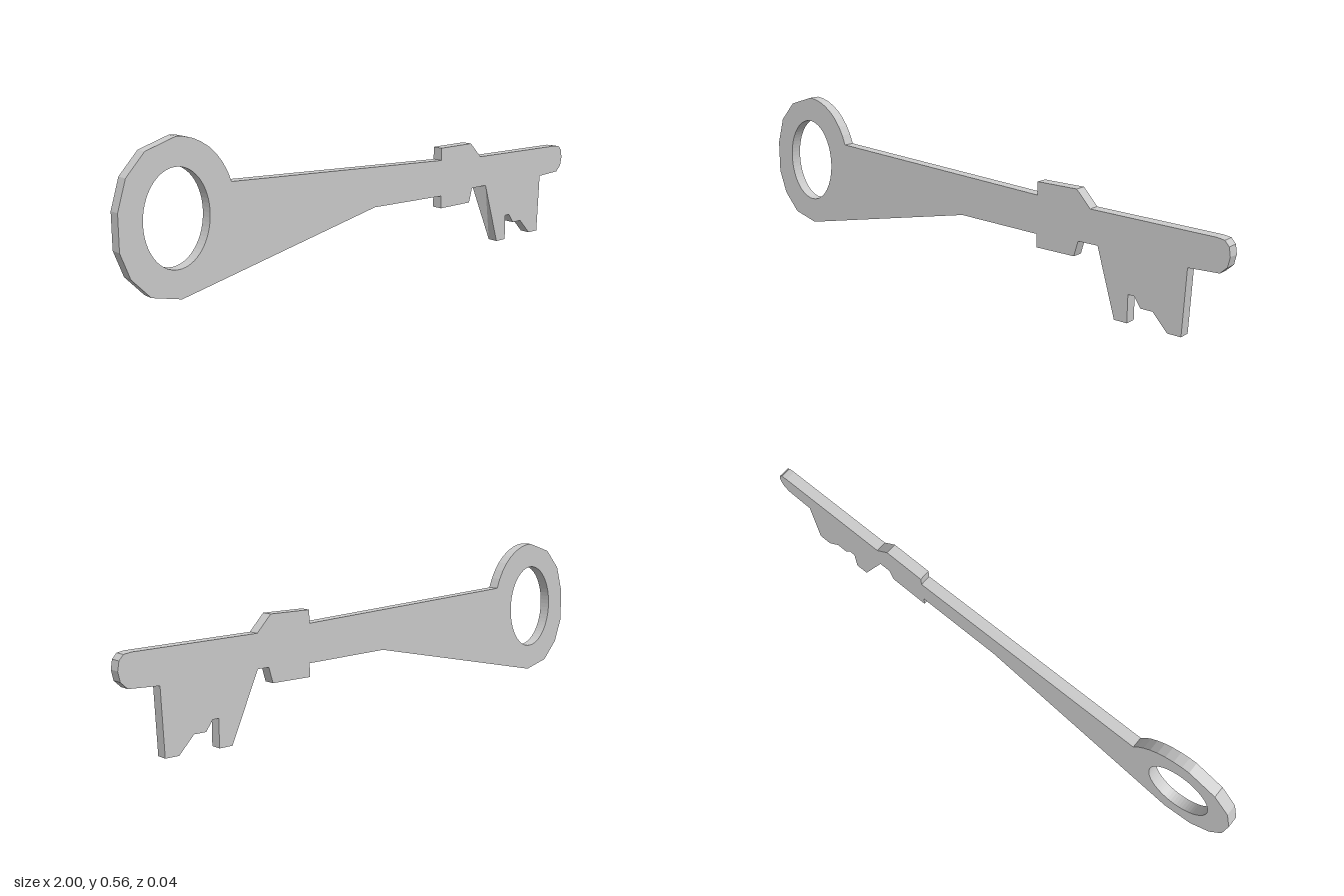
import * as THREE from 'three';

const THICKNESS = 0.04;

export function createModel() {
  const group = new THREE.Group();
  group.name = 'key';

  // Coarse outer side of the ring handle, top to bottom
  const ringSide = [[-0.80, 0.56], [-0.905, 0.527], [-0.97, 0.457], [-1, 0.36],
    [-1, 0.243], [-0.968, 0.158], [-0.904, 0.09], [-0.80, 0.064]];
  // Underside of the shank and collar
  const underside = [[-0.02, 0.23], [0.305, 0.223], [0.305, 0.177], [0.455, 0.177],
    [0.47, 0.23], [0.513, 0.23]];
  // Toothed bit
  const bit = [[0.615, 0], [0.663, 0], [0.663, 0.095], [0.685, 0.095], [0.71, 0.06],
    [0.753, 0.06], [0.807, 0.003], [0.855, 0.003], [0.865, 0.225]];
  // Rounded tip
  const tip = [[0.97, 0.23], [0.993, 0.252], [1, 0.285], [0.995, 0.315], [0.98, 0.332], [0.955, 0.336]];
  // Upper edge of shank and collar
  const upperEdge = [[0.513, 0.344], [0.46, 0.4], [0.305, 0.4], [0.305, 0.355], [-0.61, 0.4]];

  // Smooth upper inner shoulder of the ring
  const shoulder = [];
  for (let i = 1; i < 8; i++) {
    const a = 0.37 + (Math.PI / 2 - 0.37) * (i / 8);
    shoulder.push([-0.805 + 0.209 * Math.cos(a), 0.31 + 0.25 * Math.sin(a)]);
  }

  const outline = [...ringSide, ...underside, ...bit, ...tip, ...upperEdge, ...shoulder];
  const shape = new THREE.Shape(outline.map(([x, y]) => new THREE.Vector2(x, y)));

  // Oval opening in the ring
  const hole = new THREE.Path();
  hole.absellipse(-0.806, 0.314, 0.115, 0.156, 0, Math.PI * 2, true);
  shape.holes.push(hole);

  const geometry = new THREE.ExtrudeGeometry(shape, { depth: THICKNESS, bevelEnabled: false, curveSegments: 32 });
  geometry.translate(0, 0, -THICKNESS / 2);

  // The root of the bit is slightly narrower on the front face
  const p = geometry.attributes.position;
  for (let i = 0; i < p.count; i++) {
    if (p.getZ(i) > 0 && Math.abs(p.getX(i) - 0.513) < 0.001 && p.getY(i) < 0.25) p.setX(i, 0.545);
  }
  geometry.computeVertexNormals();

  const material = new THREE.MeshStandardMaterial({ color: 0xcccccc, flatShading: true });
  const mesh = new THREE.Mesh(geometry, material);
  mesh.name = 'keyPlate';
  group.add(mesh);
  return group;
}
